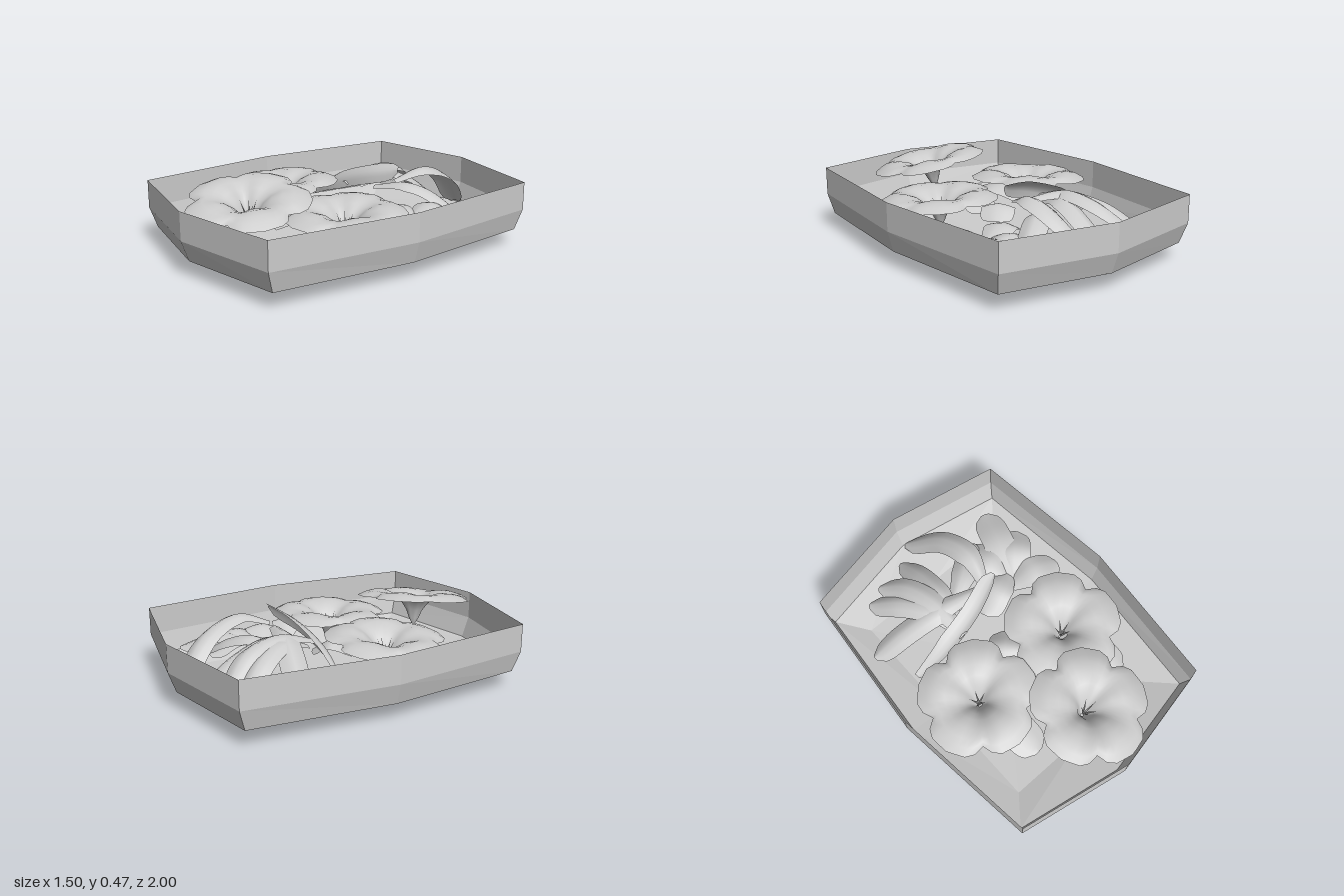
import * as THREE from 'three';

const flat = new THREE.MeshStandardMaterial({ color: 0xcccccc, flatShading: true, side: THREE.DoubleSide });
const smooth = new THREE.MeshStandardMaterial({ color: 0xcccccc, side: THREE.DoubleSide });

// Joins rows of points (all the same length) into one surface
function loft(rows, closed) {
  const n = rows[0].length, index = [];
  for (let i = 0; i < rows.length - 1; i++) {
    for (let j = 0; j < (closed ? n : n - 1); j++) {
      const k = (j + 1) % n;
      const a = i * n + j, b = a + n, c = (i + 1) * n + k, d = i * n + k;
      index.push(a, b, c, a, c, d);
    }
  }
  const geo = new THREE.BufferGeometry();
  geo.setAttribute('position', new THREE.Float32BufferAttribute(rows.flat(2), 3));
  geo.setIndex(index);
  geo.computeVertexNormals();
  return geo;
}

function add(parent, geo, material, name) {
  const mesh = new THREE.Mesh(geo, material);
  mesh.name = name;
  parent.add(mesh);
  return mesh;
}

// Thin eight-sided tray: side midpoint x, corner x, corner z, end midpoint z,
// corner height, midpoint height
function trayGeometry() {
  const rings = [
    [0, 0, 0, 0, 0.003, 0.003],
    [0.5, 0.5, 0.67, 0.67, 0.04, 0.03],
    [0.715, 0.635, 0.835, 0.957, 0.1, 0.1],
    [0.748, 0.66, 0.872, 1, 0.22, 0.22],
    [0.748, 0.66, 0.872, 1, 0.385, 0.385],
  ];
  return loft(rings.map(([mx, cx, cz, mz, y, my]) => [
    [mx, my, 0], [cx, y, cz], [0, my, mz], [-cx, y, cz],
    [-mx, my, 0], [-cx, y, -cz], [0, my, -mz], [cx, y, -cz],
  ]), true);
}

// Five-lobed funnel flower with blunt petals and grooves running into the throat
function flowerGeometry() {
  const profile = [[0.008, -0.19], [0.03, -0.15], [0.05, -0.1], [0.085, -0.05], [0.13, -0.015],
    [0.19, 0.008], [0.25, 0.01], [0.3, 0], [0.35, -0.025]];
  const lobe = [1, 0.98, 0.98, 0.92, 0.79, 0.92, 0.98, 0.98];
  const sides = lobe.length * 5;
  return loft(profile.map(([r, h]) => {
    const row = [];
    const out = r / 0.35;
    for (let j = 0; j < sides; j++) {
      const a = (j / sides) * Math.PI * 2 + Math.PI / 2;
      const reach = r * (1 - out * out * (1 - lobe[j % lobe.length]));
      const groove = 0.01 * Math.cos(5 * (a - Math.PI / 2)) * Math.sin(Math.PI * Math.min(1, out * 1.2));
      row.push([Math.cos(a) * reach, h + groove, Math.sin(a) * reach]);
    }
    return row;
  }), true);
}

// Folded leaf along a curve, narrow at its base with a blunt tip; roll turns the blade
function leafGeometry(points, width, fold, roll) {
  const curve = new THREE.CatmullRomCurve3(points.map((p) => new THREE.Vector3(...p)));
  const up = new THREE.Vector3(0, 1, 0), rows = [];
  const steps = 16;
  for (let i = 0; i <= steps; i++) {
    const t = i / steps;
    const p = curve.getPoint(t);
    const tangent = curve.getTangent(t);
    const side = tangent.clone().cross(up).normalize().applyAxisAngle(tangent, roll);
    const normal = side.clone().cross(tangent).normalize();
    const w = width * 0.5 * Math.min(1, 0.4 + 1.6 * t) * Math.sqrt(Math.max(0.08, 1 - Math.pow(t, 14)));
    rows.push([-1, -0.5, 0, 0.5, 1].map((u) => p.clone()
      .addScaledVector(side, u * w)
      .addScaledVector(normal, -Math.pow(Math.abs(u), 1.4) * w * fold).toArray()));
  }
  return loft(rows, false);
}

export function createModel() {
  const model = new THREE.Group();
  model.name = 'flowerTray';
  add(model, trayGeometry().toNonIndexed(), flat, 'tray');

  // Three open flowers: position, tilt about x, tilt about z
  const flower = flowerGeometry();
  [
    [-0.35, 0.345, 0.16, 0.04, 0.05],
    [0.31, 0.32, 0.16, 0.04, -0.03],
    [0.07, 0.415, 0.63, 0.13, -0.15],
  ].forEach(([x, y, z, rx, rz]) => {
    const head = new THREE.Group();
    head.name = 'flower';
    head.position.set(x, y, z);
    head.rotation.set(rx, 0, rz);
    add(head, flower, smooth, 'petals');
    // Stamen cluster
    for (let i = 0; i < 5; i++) {
      const a = (i / 5) * Math.PI * 2;
      const stamen = add(head, new THREE.ConeGeometry(0.008, 0.14, 5), smooth, 'stamen');
      stamen.position.set(Math.cos(a) * 0.025, -0.09, Math.sin(a) * 0.025);
      stamen.rotation.set(Math.sin(a) * 0.35, 0, -Math.cos(a) * 0.35);
    }
    model.add(head);
  });

  // Long strap leaves arching out of one clump: path, width, roll
  [
    [[[0.07, 0.36, -0.33], [-0.18, 0.38, -0.38], [-0.42, 0.28, -0.44], [-0.61, 0.15, -0.48]], 0.15, 0],
    [[[-0.16, 0.3, -0.24], [-0.2, 0.37, -0.4], [-0.31, 0.33, -0.58], [-0.43, 0.21, -0.74]], 0.15, 0],
    [[[-0.16, 0.32, -0.18], [-0.17, 0.39, -0.42], [-0.22, 0.35, -0.62], [-0.32, 0.23, -0.78]], 0.15, 0],
    [[[-0.12, 0.3, -0.26], [-0.1, 0.36, -0.45], [-0.09, 0.28, -0.66], [-0.1, 0.13, -0.86]], 0.14, 0],
    [[[0.13, 0.37, -0.33], [0.17, 0.43, -0.51], [0.14, 0.35, -0.72], [0.01, 0.11, -0.95]], 0.15, 0],
    [[[-0.1, 0.28, -0.37], [0.08, 0.32, -0.47], [0.2, 0.28, -0.56], [0.31, 0.2, -0.63]], 0.15, 0],
    [[[-0.5, 0.19, -0.2], [-0.28, 0.31, -0.19], [-0.02, 0.4, -0.23], [0.19, 0.45, -0.31]], 0.13, 0.9],
  ].forEach(([points, width, roll]) => {
    add(model, leafGeometry(points, width, 0.5, roll), smooth, 'strapLeaf');
  });

  // Broad low leaves: base, tip, width
  [
    [[0.33, -0.28], [0.5, -0.75], 0.19],
    [[0.3, -0.3], [0.27, -0.65], 0.16],
    [[0.34, -0.3], [0.56, -0.54], 0.2],
    [[0.3, -0.28], [0.61, -0.2], 0.19],
    [[0.36, -0.36], [0.05, -0.24], 0.19],
    [[0.38, -0.1], [0.61, 0.02], 0.19],
    [[0.32, 0.15], [0.42, 0.55], 0.2],
    [[-0.32, 0.15], [-0.27, 0.59], 0.22],
    [[-0.1, 0.1], [0.08, -0.08], 0.2],
    [[-0.05, 0.4], [0.02, 0.1], 0.2],
  ].forEach(([[x0, z0], [x1, z1], width]) => {
    const points = [[x0, 0.17, z0], [(x0 + x1) / 2, 0.24, (z0 + z1) / 2], [x1, 0.17, z1]];
    add(model, leafGeometry(points, width, 0.25, 0), smooth, 'broadLeaf');
  });
  return model;
}
